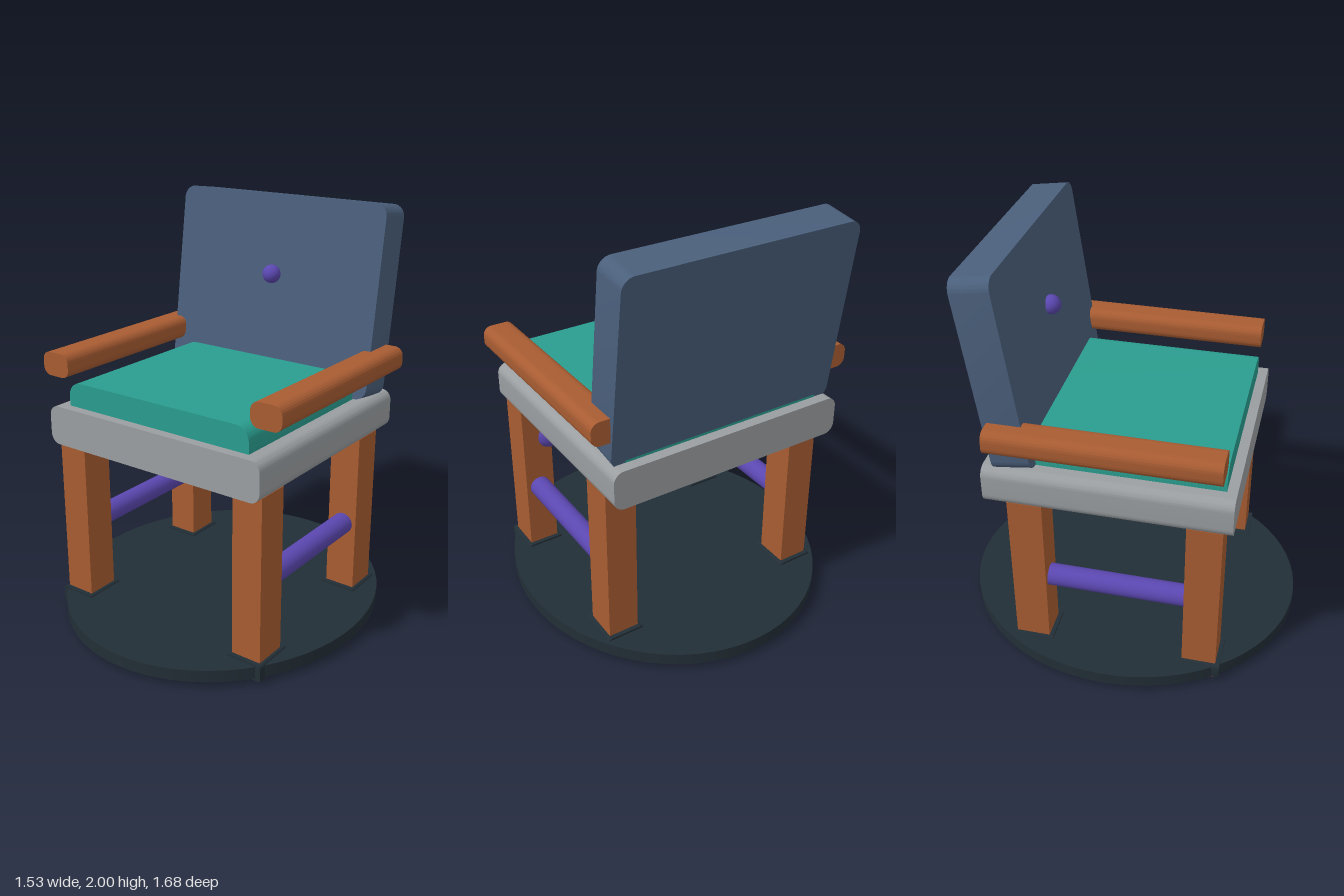
import * as THREE from 'three';
import { toCreasedNormals } from 'three/addons/utils/BufferGeometryUtils.js';

const material = (name, color) => new THREE.MeshStandardMaterial({ name, color });

// Block with corners rounded in the xy plane, extruded along z and centred.
function roundedBlock(w, h, d, topRadius, bottomRadius = topRadius) {
  const x = w / 2, y = h / 2, t = topRadius, b = bottomRadius;
  const s = new THREE.Shape();
  s.moveTo(-x + b, -y);
  s.lineTo(x - b, -y);
  if (b > 0) s.absarc(x - b, -y + b, b, -Math.PI / 2, 0);
  s.lineTo(x, y - t);
  s.absarc(x - t, y - t, t, 0, Math.PI / 2);
  s.lineTo(-x + t, y);
  s.absarc(-x + t, y - t, t, Math.PI / 2, Math.PI);
  s.lineTo(-x, -y + b);
  if (b > 0) s.absarc(-x + b, -y + b, b, Math.PI, Math.PI * 1.5);
  const g = new THREE.ExtrudeGeometry(s, { depth: d, bevelEnabled: false, curveSegments: 8 });
  g.translate(0, 0, -d / 2);
  return toCreasedNormals(g, 0.6);
}

export function createModel() {
  const wood = material('wood', 0xa85c32);
  const slate = material('slate blue', 0x4a5f7b);
  const teal = material('teal', 0x2a9d8f);
  const grey = material('grey', 0x9a9ea1);
  const purple = material('purple', 0x5b47b0);
  const dark = material('dark', 0x222e36);

  const model = new THREE.Group();
  const add = (name, geometry, mat, x, y, z) => {
    const mesh = new THREE.Mesh(geometry, mat);
    mesh.name = name;
    mesh.position.set(x, y, z);
    model.add(mesh);
    return mesh;
  };

  // Oval floor plate
  const plate = add('basePlate', new THREE.CylinderGeometry(1, 1, 0.06, 64), dark, 0, 0.055, 0);
  plate.scale.set(0.765, 1, 0.842);

  // Seat frame and cushion
  add('seat', roundedBlock(1.205, 0.192, 1.145, 0.05), grey, 0, 0.984, 0);
  add('cushion', roundedBlock(1.03, 0.12, 1.045, 0.07, 0), teal, 0, 1.14, 0.0025);

  // Reclined backrest with its button
  const back = add('backrest', roundedBlock(1.17, 0.925, 0.18, 0.06), slate, 0, 1.53, -0.49);
  back.rotation.x = -0.138;
  add('backButton', new THREE.SphereGeometry(0.046, 24, 16), purple, 0, 1.617, -0.398);

  // Legs, feet, armrests and stretchers, mirrored
  const leg = new THREE.BoxGeometry(0.153, 0.9, 0.165);
  const foot = roundedBlock(0.188, 0.083, 0.208, 0.015);
  const arm = roundedBlock(0.157, 0.116, 1.05, 0.042);
  const rod = new THREE.CylinderGeometry(0.053, 0.053, 0.7, 24).rotateX(Math.PI / 2);
  for (const side of [-1, 1]) {
    const label = side > 0 ? 'left' : 'right';
    for (const [end, z] of [['Front', 0.447], ['Back', -0.383]]) {
      add(label + end + 'Leg', leg, wood, side * 0.511, 0.45, z);
      add(label + end + 'Foot', foot, dark, side * 0.511, 0.0535, z);
    }
    add(label + 'Armrest', arm, wood, side * 0.598, 1.265, 0);
    add(label + 'Stretcher', rod, purple, side * 0.515, 0.438, 0.032);
  }

  // Knob on the inner side of the left front leg
  add('legKnob', new THREE.SphereGeometry(0.076, 24, 16), purple, 0.437, 0.722, 0.397);

  return model;
}
